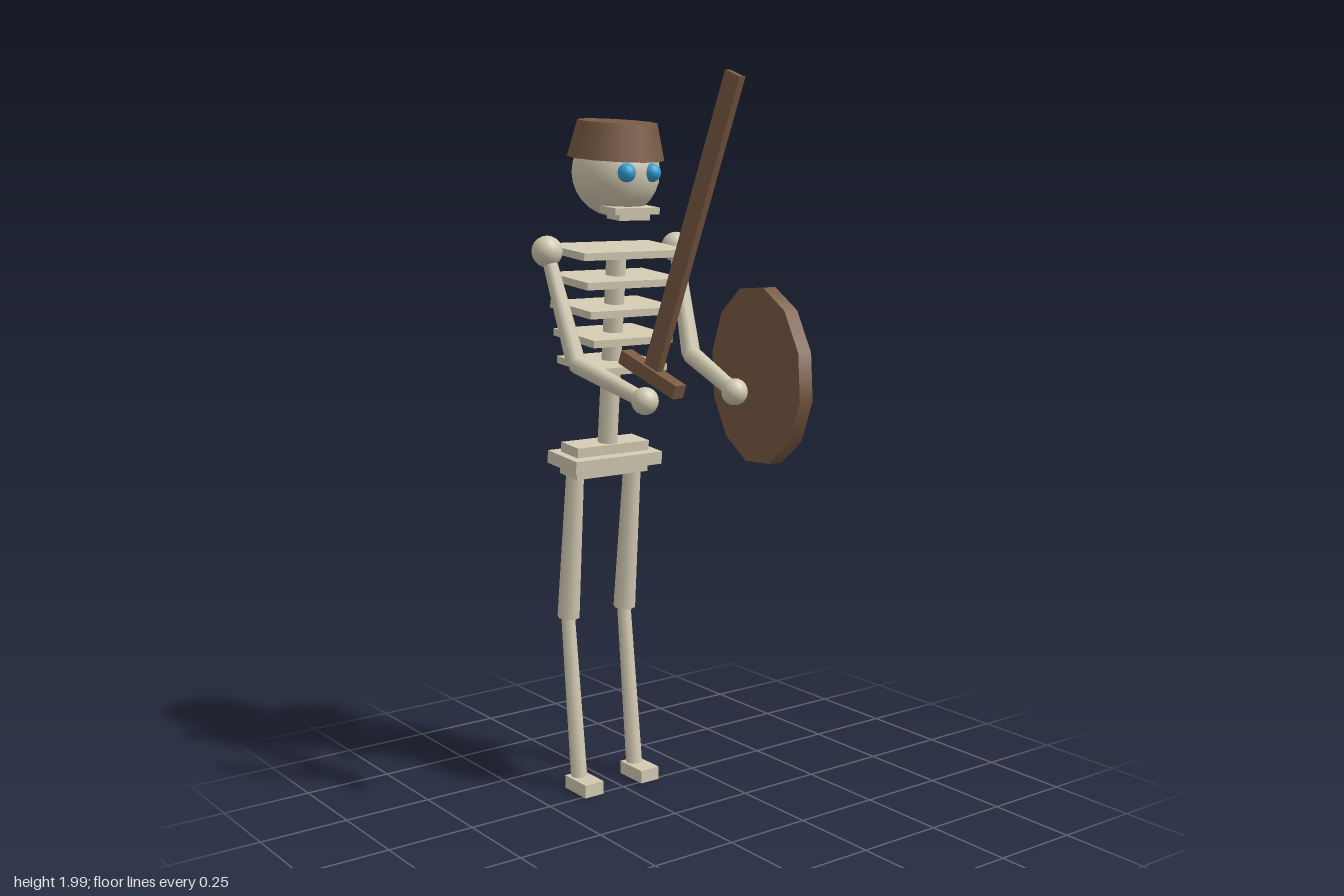
import * as THREE from 'three';

export function createModel() {
  const root = new THREE.Group();
  const mat = (name, color) => {
    const m = new THREE.MeshStandardMaterial({ color });
    m.name = name;
    return m;
  };
  const bone = mat('bone', 0xd2cab2);
  const wood = mat('brown wood', 0x7a5a43);
  const blue = mat('eye blue', 0x2f9fd2);

  const add = (name, geometry, material, position, parent = root) => {
    const mesh = new THREE.Mesh(geometry, material);
    mesh.name = name;
    mesh.position.set(...position);
    parent.add(mesh);
    return mesh;
  };
  const box = (name, size, material, position, parent) =>
    add(name, new THREE.BoxGeometry(...size), material, position, parent);
  const ball = (name, r, material, position) =>
    add(name, new THREE.SphereGeometry(r, 14, 10), material, position);
  // Tapered cylinder running from point a to point b
  const rod = (name, a, b, ra, rb, sides = 8, material = bone) => {
    const start = new THREE.Vector3(...a), end = new THREE.Vector3(...b);
    const dir = end.clone().sub(start);
    const mesh = add(name, new THREE.CylinderGeometry(rb, ra, dir.length(), sides), material,
      start.add(end).multiplyScalar(0.5).toArray());
    mesh.quaternion.setFromUnitVectors(new THREE.Vector3(0, 1, 0), dir.normalize());
    return mesh;
  };

  const midX = -0.01; // body centre line
  const lean = 0.095; // forward lean of the trunk

  // Head, eyes, jaw and cap
  add('head', new THREE.SphereGeometry(0.12, 18, 14), bone, [midX, 1.75, -0.255]);
  for (const s of [-1, 1]) ball('eye', 0.025, blue, [midX + s * 0.041, 1.748, -0.145]);
  box('upperJaw', [0.145, 0.018, 0.075], bone, [midX, 1.65, -0.19]).rotation.x = lean;
  box('lowerJaw', [0.1, 0.035, 0.06], bone, [midX, 1.642, -0.195]).rotation.x = lean;
  add('cap', new THREE.CylinderGeometry(0.108, 0.132, 0.098, 12), wood,
    [midX, 1.835, -0.25]).rotation.x = lean;

  // Spine and rib plates, narrowing downward
  rod('spine', [midX, 0.97, -0.307], [midX, 1.54, -0.253], 0.028, 0.028);
  for (let i = 0; i < 5; i++) {
    const y = 1.54 - i * 0.078;
    box('rib', [0.348 - i * 0.029, 0.02, 0.2], bone,
      [midX, y, -0.25 - (1.54 - y) * lean]).rotation.x = lean;
  }

  // Pelvis: a broad plate crossed by a taller block
  box('hipPlate', [0.29, 0.036, 0.145], bone, [midX, 0.959, -0.316]).rotation.x = lean;
  box('hipBlock', [0.24, 0.09, 0.085], bone, [midX, 0.96, -0.318]).rotation.x = lean;

  // Legs
  for (const s of [-1, 1]) {
    const x = midX + s * 0.097;
    rod('thigh', [x, 0.5, -0.365], [x, 0.95, -0.32], 0.032, 0.025);
    rod('shin', [x, 0.025, -0.318], [x, 0.51, -0.368], 0.024, 0.02);
    box('foot', [0.062, 0.038, 0.105], bone, [x, 0.019, -0.292]);
  }

  // Arms: shoulder, elbow and hand positions for each side
  const arms = [
    { s: [-0.222, 1.542, -0.271], e: [-0.2, 1.25, -0.17], h: [-0.155, 1.175, 0.079] },
    { s: [0.205, 1.542, -0.271], e: [0.182, 1.25, -0.17], h: [0.138, 1.175, 0.079] },
  ];
  for (const { s, e, h } of arms) {
    ball('shoulder', 0.042, bone, s);
    rod('upperArm', s, e, 0.019, 0.027);
    rod('forearm', e, h, 0.026, 0.021);
    ball('hand', 0.036, bone, h);
  }

  // Round shield outside the left hand
  const c = [0.204, 1.217, 0.106], n = [0.985 * 0.019, 0, 0.173 * 0.019];
  rod('shield', c.map((v, i) => v - n[i]), c.map((v, i) => v + n[i]), 0.24, 0.24, 12, wood);

  // Sword held in the right hand
  const sword = new THREE.Group();
  sword.name = 'sword';
  sword.position.set(-0.152, 1.247, 0.105);
  sword.rotation.set(0.366, 0.15, 0, 'YXZ');
  box('guard', [0.037, 0.036, 0.21], wood, [0, 0, 0], sword);
  box('blade', [0.02, 0.785, 0.05], wood, [0, 0.3925, 0], sword);
  root.add(sword);

  return root;
}
